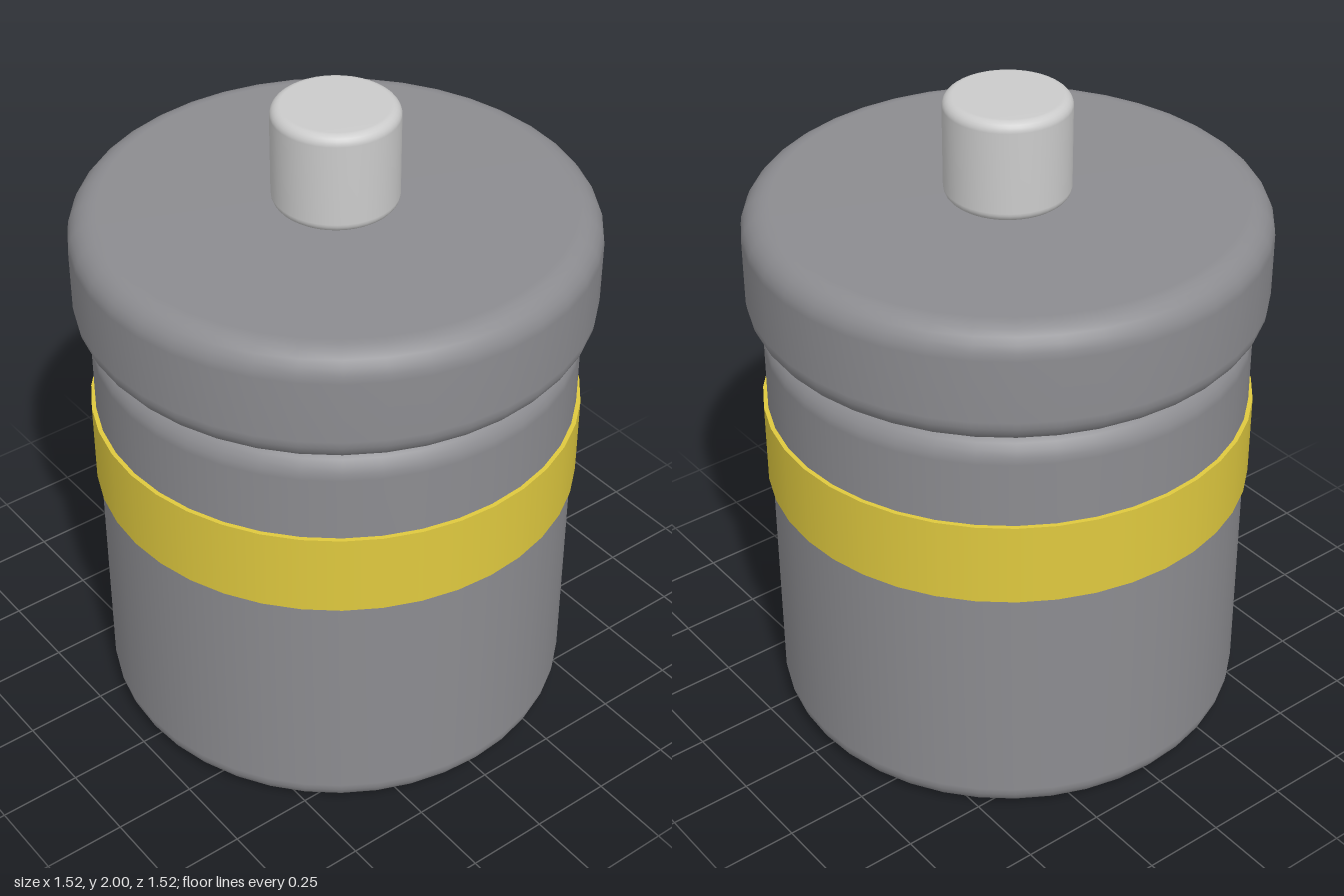
import * as THREE from 'three';

const SIDES = 40;

// Closed round drum with rounded top and bottom rims
function drum(name, radius, y0, y1, round, color) {
  const pts = [new THREE.Vector2(0, y0)];
  const steps = 6;
  for (const [cy, start] of [[y0 + round, -Math.PI / 2], [y1 - round, 0]]) {
    for (let i = 0; i <= steps; i++) {
      const a = start + (i / steps) * Math.PI / 2;
      pts.push(new THREE.Vector2(radius - round + round * Math.cos(a), cy + round * Math.sin(a)));
    }
  }
  pts.push(new THREE.Vector2(0, y1));
  const mesh = new THREE.Mesh(
    new THREE.LatheGeometry(pts, SIDES),
    new THREE.MeshStandardMaterial({ color })
  );
  mesh.name = name;
  return mesh;
}

export function createModel() {
  const group = new THREE.Group();
  group.name = 'lidded jar';
  const grey = 0x8c8c90;

  group.add(drum('body', 0.715, 0, 1.335, 0.08, grey));
  group.add(drum('lid', 0.758, 1.335, 1.695, 0.085, grey));
  group.add(drum('knob', 0.183, 1.695, 2, 0.03, 0xcccccc));

  // Short neck closing the seam between body and lid
  const neck = new THREE.Mesh(
    new THREE.CylinderGeometry(0.63, 0.63, 0.06, SIDES),
    new THREE.MeshStandardMaterial({ color: grey })
  );
  neck.name = 'neck';
  neck.position.y = 1.335;
  group.add(neck);

  // Coloured band around the body
  const band = new THREE.Mesh(
    new THREE.CylinderGeometry(0.728, 0.728, 0.255, SIDES),
    new THREE.MeshStandardMaterial({ color: 0xdfc93f })
  );
  band.name = 'band';
  band.position.y = 0.9275;
  group.add(band);

  return group;
}
